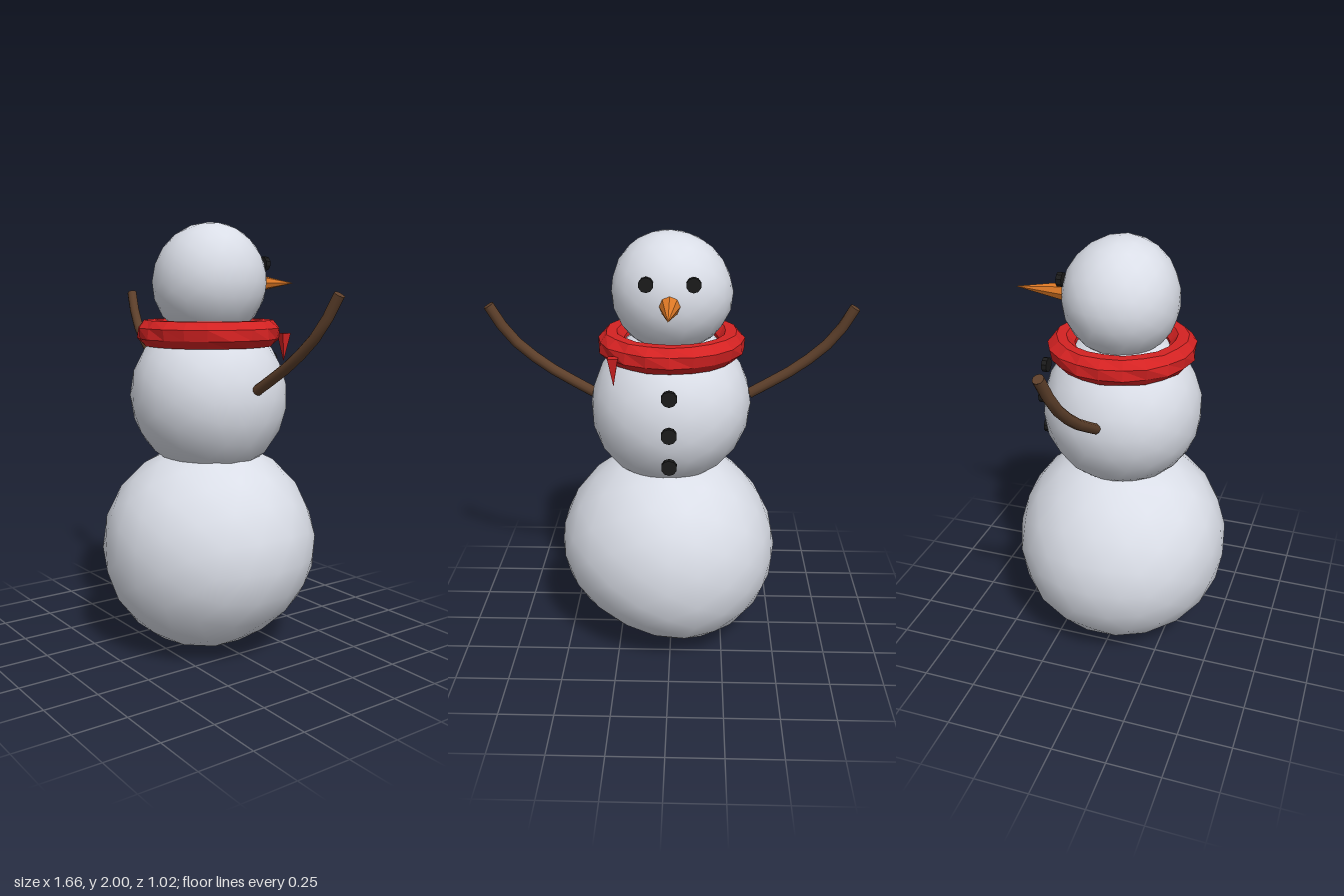
import * as THREE from 'three';
import { mergeVertices } from 'three/addons/utils/BufferGeometryUtils.js';

const mat = (name, color, extra = {}) => {
  const m = new THREE.MeshStandardMaterial({ color, ...extra });
  m.name = name;
  return m;
};

export function createModel() {
  const snow = mat('snow', 0xe8ecf6);
  const red = mat('scarf red', 0xd42222, { flatShading: true });
  const brown = mat('twig brown', 0x5e402b);
  const coal = mat('coal black', 0x1b1b1b, { flatShading: true });
  const orange = mat('carrot orange', 0xe07a26, { flatShading: true });

  const model = new THREE.Group();
  model.name = 'snowman';
  const add = (name, geometry, material, x = 0, y = 0, z = 0) => {
    const mesh = new THREE.Mesh(geometry, material);
    mesh.name = name;
    mesh.position.set(x, y, z);
    model.add(mesh);
    return mesh;
  };

  // Lumpy snowball: each bump [x, y, z, height] swells or dents one direction
  const snowball = (radius, bumps) => {
    let geo = new THREE.IcosahedronGeometry(1, 3);
    geo.deleteAttribute('normal');
    geo.deleteAttribute('uv');
    geo = mergeVertices(geo, 1e-4);
    const pos = geo.attributes.position;
    const v = new THREE.Vector3();
    const dir = new THREE.Vector3();
    for (let i = 0; i < pos.count; i++) {
      v.fromBufferAttribute(pos, i).normalize();
      let r = radius;
      for (const [x, y, z, h] of bumps) {
        r += h * Math.max(0, v.dot(dir.set(x, y, z).normalize())) ** 4;
      }
      v.multiplyScalar(r);
      pos.setXYZ(i, v.x, v.y, v.z);
    }
    geo.computeVertexNormals();
    return geo;
  };

  add('bottomBall', snowball(0.508, [
    [1, 0.2, 0, 0.033], [0.4, -0.9, -0.4, -0.045], [-0.3, -0.95, 0.2, -0.02],
    [-0.6, 0.75, 0, -0.012], [0, 0.85, -0.5, 0.015], [0, 0.6, 0.7, 0.015],
  ]), snow, 0, 0.475, 0);
  add('middleBall', snowball(0.37, [
    [0.6, -0.7, 0, 0.015], [-0.7, -0.7, 0, -0.008], [0, 0.3, -1, -0.006],
  ]), snow, 0, 1.21, 0);
  add('head', snowball(0.267, [
    [-1, -0.1, 0, 0.012], [0.6, 0.8, 0, 0.008], [-0.8, 0.5, 0, -0.005],
    [0, 0.2, 1, -0.012], [0, 0, -1, 0.004],
  ]), snow, 0, 1.733, 0);

  // Scarf: octagonal ring with slight kinks
  const ring = [];
  for (let i = 0; i <= 8; i++) {
    const a = Math.PI / 8 + i * Math.PI / 4;
    ring.push(new THREE.Vector2(0.272 + 0.064 * Math.cos(a), 0.064 * Math.sin(a)));
  }
  const scarf = new THREE.LatheGeometry(ring, 20);
  const sp = scarf.attributes.position;
  for (let i = 0; i < sp.count; i++) {
    const x = sp.getX(i), y = sp.getY(i), z = sp.getZ(i);
    const k = 1 + 0.015 * Math.sin(23 * x + 31 * z + 70 * y);
    sp.setXYZ(i, x * k, y, z * k);
  }
  const scarfMesh = add('scarf', scarf, red, 0, 1.5, 0);
  scarfMesh.material.side = THREE.DoubleSide;
  const tail = add('scarfTail', new THREE.ConeGeometry(0.032, 0.13, 4), red, 0.245, 1.435, -0.25);
  tail.rotation.set(Math.PI, Math.PI / 4, 0);

  // Coal eyes and buttons: short discs facing the front of the snowman
  const disc = new THREE.CylinderGeometry(0.035, 0.035, 0.025, 10).rotateX(Math.PI / 2);
  for (const s of [-1, 1]) {
    const eye = add(s > 0 ? 'leftEye' : 'rightEye', disc, coal, s * 0.1, 1.817, -0.247);
    eye.scale.set(0.92, 0.92, 1);
  }
  [[1.36, -0.375], [1.2, -0.397], [1.045, -0.375]].forEach(([y, z], i) =>
    add('button' + (i + 1), disc, coal, 0, y, z));

  // Carrot nose
  add('nose', new THREE.ConeGeometry(0.045, 0.25, 8).rotateX(-Math.PI / 2), orange, 0, 1.728, -0.385);

  // Twig arms with capped ends
  for (const s of [-1, 1]) {
    const curve = new THREE.CatmullRomCurve3([
      [0.36, 1.26, -0.005], [0.575, 1.395, -0.02], [0.725, 1.535, -0.04], [0.808, 1.68, -0.062],
    ].map(([x, y, z]) => new THREE.Vector3(s * x, y, z)));
    const side = s > 0 ? 'left' : 'right';
    add(side + 'Arm', new THREE.TubeGeometry(curve, 6, 0.024, 10), brown);
    for (const t of [0, 1]) {
      const p = curve.getPointAt(t);
      const cap = add(side + (t ? 'ArmTip' : 'ArmRoot'), new THREE.CircleGeometry(0.024, 10), brown, p.x, p.y, p.z);
      cap.quaternion.setFromUnitVectors(new THREE.Vector3(0, 0, 1),
        curve.getTangentAt(t).multiplyScalar(t ? 1 : -1));
    }
  }
  return model;
}
